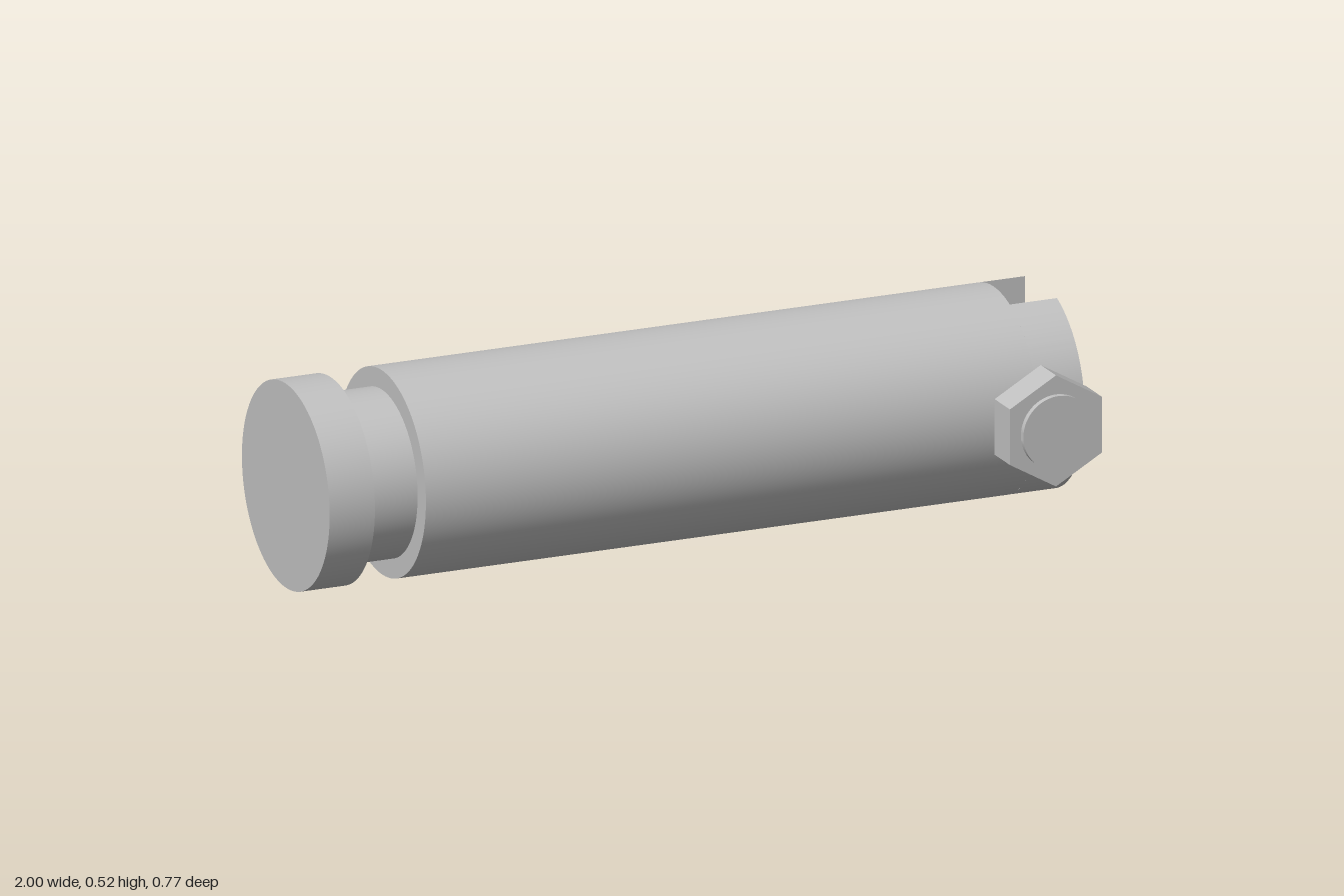
import * as THREE from 'three';
import { toCreasedNormals } from 'three/addons/utils/BufferGeometryUtils.js';

const R = 0.259;        // pin radius
const BOLT_X = 0.875;   // bolt axis and slot floor
const SLOT = 0.095;     // half width of the slot

export function createModel() {
  const model = new THREE.Group();
  const steel = new THREE.MeshStandardMaterial({ color: 0xc0c0c0 });
  steel.name = 'steel grey';

  const add = (name, geometry) => {
    const mesh = new THREE.Mesh(toCreasedNormals(geometry, 0.5), steel);
    mesh.name = name;
    model.add(mesh);
    return mesh;
  };

  // Turned pin with a retaining groove near its left end
  const profile = [
    [0, -1], [R, -1], [R, -0.88], [0.21, -0.88],
    [0.21, -0.745], [R, -0.745], [R, BOLT_X], [0, BOLT_X],
  ].map(([r, y]) => new THREE.Vector2(r, y));
  add('pinBody', new THREE.LatheGeometry(profile, 96).rotateZ(-Math.PI / 2));

  // Cross bolt through the slot
  add('crossBolt', new THREE.CylinderGeometry(0.093, 0.093, 0.766, 64).rotateX(Math.PI / 2))
    .position.x = BOLT_X;

  // Circular segment that makes one cheek of the slotted end
  const half = Math.acos(SLOT / R);
  const segment = new THREE.Shape();
  segment.absarc(0, 0, R, -half, half, false);
  segment.closePath();

  for (const side of [1, -1]) {
    const label = side > 0 ? 'front' : 'back';

    const cheek = new THREE.ExtrudeGeometry(segment, {
      depth: 1 - BOLT_X, bevelEnabled: false, curveSegments: 40,
    }).rotateY(Math.PI / 2);
    if (side > 0) cheek.rotateX(Math.PI);
    add(label + 'Cheek', cheek).position.x = BOLT_X;

    // Hex nut with a corner pointing up
    const nut = new THREE.CylinderGeometry(0.141, 0.141, 0.09, 6).rotateX(Math.PI / 2);
    add(label + 'Nut', nut).position.set(BOLT_X, 0, side * 0.323);
  }

  model.position.y = R;
  const root = new THREE.Group();
  root.name = 'slottedPin';
  root.add(model);
  return root;
}
